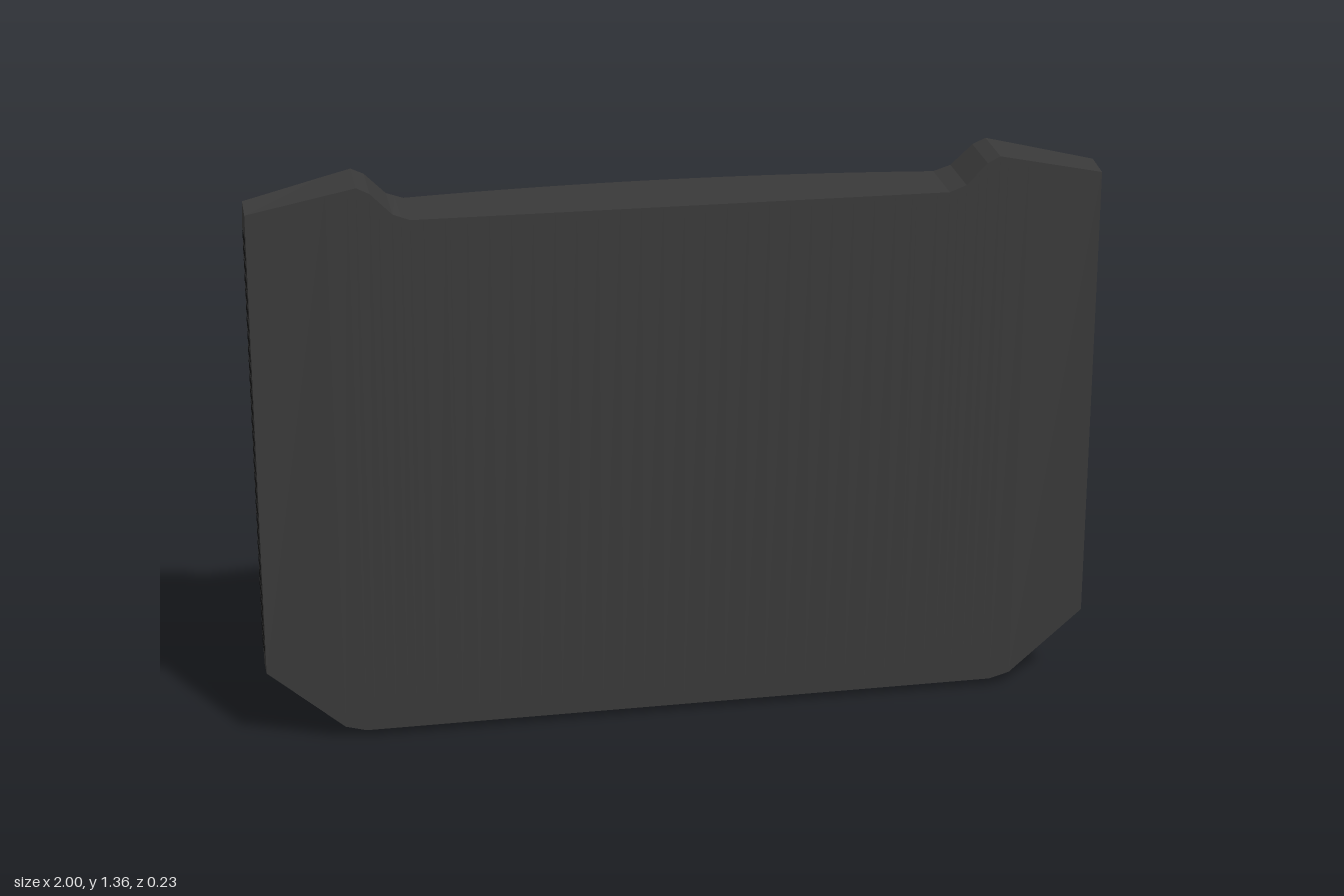
import * as THREE from 'three';

const FRONT_Z = 0.115;

// Piecewise-linear lookup through [x, value] knots
function knots(table, x) {
  for (let i = 1; i < table.length; i++) {
    const [x0, y0] = table[i - 1], [x1, y1] = table[i];
    if (x <= x1) return y0 + (y1 - y0) * (x - x0) / (x1 - x0);
  }
  return table[table.length - 1][1];
}

const TOP = [[0, 1.28], [0.63, 1.28], [0.67, 1.295], [0.72, 1.345], [0.75, 1.36], [1, 1.31]];
const BOTTOM = [[0, 0], [0.77, 0], [0.82, 0.015], [1, 0.18]];
const backZ = x => -0.115 * (1 - x * x);
const ridgeZ = x => 0.045 - 0.12 * (1 - x * x);
const backTop = x => knots(TOP, Math.abs(x)) - 0.07;

// Side cross-section at x, with an optional pocket in the underside
function section(x, pocket) {
  const a = Math.abs(x), top = knots(TOP, a), low = knots(BOTTOM, a);
  const rz = ridgeZ(x), lip = 0.018 - 0.013 * Math.max(0, (a - 0.8) / 0.2);
  const under = z => low + lip * (z - rz) / (FRONT_Z - rz);
  const z0 = rz + 0.03, z1 = 0.1, roof = pocket ? 0.055 : 0;
  return [
    [top - 0.015, FRONT_Z], [top, rz], [top - 0.07, backZ(x)],
    [low + 0.07 - 0.01 * (a === 1), backZ(x)], [low, rz],
    [under(z0), z0], [under(z0) + roof, z0], [under(z1) + roof, z1], [under(z1), z1],
    [low + lip, FRONT_Z],
  ].map(([y, z]) => new THREE.Vector3(x, y, z));
}

function geometryFrom(triangles) {
  const g = new THREE.BufferGeometry().setFromPoints(triangles);
  g.computeVertexNormals();
  return g;
}

const quad = (out, a, b, c, d) => out.push(a, b, c, a, c, d);

// Sample positions between two x values, including the given corner positions
function samples(x0, x1, corners = []) {
  const xs = [x0, x1, ...corners];
  for (let i = -15; i <= 15; i++) xs.push(i * 0.05);
  return [...new Set(xs)].filter(x => x >= x0 && x <= x1).sort((a, b) => a - b);
}

// Curved plate lying just outside the bowed back
function backPlate(x0, x1, topY, lowY, lift, corners) {
  const out = [], xs = samples(x0, x1, corners);
  const p = (x, y) => new THREE.Vector3(x, y, backZ(x) - lift);
  for (let i = 1; i < xs.length; i++) {
    const a = xs[i - 1], b = xs[i];
    quad(out, p(a, topY(a)), p(b, topY(b)), p(b, lowY(b)), p(a, lowY(a)));
  }
  return geometryFrom(out);
}

function bodyGeometry() {
  const bends = [0.54, 0.1, 0.63, 0.67, 0.72, 0.77, 0.82];
  const stations = [];
  for (const x of samples(-1, 1, bends.flatMap(b => [b, -b]))) {
    const a = Math.abs(x), inside = a > 0.1 && a < 0.54;
    const edge = a === 0.1 || a === 0.54;
    if (!edge) stations.push(section(x, inside));
    else {
      // Two rings at the same x make the end wall of a pocket
      const opens = x === -0.54 || x === 0.1;
      stations.push(section(x, !opens), section(x, opens));
    }
  }
  const out = [];
  for (let s = 1; s < stations.length; s++) {
    const a = stations[s - 1], b = stations[s];
    for (let i = 0; i < a.length; i++) {
      const j = (i + 1) % a.length;
      quad(out, a[i], b[i], b[j], a[j]);
    }
  }
  const first = stations[0], last = stations[stations.length - 1];
  for (let i = 1; i < first.length - 1; i++) {
    out.push(first[0], first[i], first[i + 1]);
    out.push(last[0], last[i + 1], last[i]);
  }
  return geometryFrom(out);
}

// Slits across the lower corner bevel
function cornerVentGeometry(side) {
  const out = [];
  const lift = new THREE.Vector3(0.0017 * side, -0.0014, -0.0022);
  const p = (x, u) => {
    const s = section(x, false);
    return s[3].lerp(s[4], u).add(lift);
  };
  for (let i = 0; i < 11; i++) {
    const near = 0.825 + i * 0.0152, far = near + 0.008;
    const [a, b] = side > 0 ? [near, far] : [-far, -near];
    quad(out, p(a, 0.08), p(b, 0.08), p(b, 0.85), p(a, 0.85));
  }
  return geometryFrom(out);
}

export function createModel() {
  const model = new THREE.Group();
  model.name = 'curvedPanelCase';
  const material = (name, color) => {
    const m = new THREE.MeshStandardMaterial({ color });
    m.name = name;
    return m;
  };
  const dark = material('charcoal', 0x383838);
  const light = material('midGrey', 0x6a6a6a);
  const black = material('black', 0x121212);

  const add = (name, geometry, mat, parent = model) => {
    const mesh = new THREE.Mesh(geometry, mat);
    mesh.name = name;
    parent.add(mesh);
    return mesh;
  };

  add('body', bodyGeometry(), dark);

  // Grey field on the back, cut by a long diagonal
  const fieldTop = [[-0.74, 0.255], [0.55, 1.197], [0.655, 1.19], [0.755, 1.26], [0.965, 1.22]];
  const fieldLow = [[-0.74, 0.197], [0.865, 0.19], [0.965, 0.25]];
  add('backField', backPlate(-0.74, 0.965, x => knots(fieldTop, x), x => knots(fieldLow, x),
    0.002, [0.55, 0.655, 0.755, 0.865]), light);

  // Groove along the top of the back with a grey insert in the middle
  const grooveLow = x => backTop(x) - 0.017, grooveTop = x => backTop(x) - 0.003;
  add('topGroove', backPlate(-0.64, 0.64, grooveTop, grooveLow, 0.0025), black);
  add('grooveInsert', backPlate(-0.115, 0.115, grooveTop, grooveLow, 0.0035), light);

  // Two small holes in the back
  for (const x of [-0.19, 0.19]) {
    const hole = add('backHole', new THREE.CircleGeometry(0.009, 12), black);
    hole.position.set(x, 0.955, backZ(x) - 0.0045);
    hole.rotation.y = Math.PI;
  }

  // Vent slits on both sides and lower corners
  const slit = new THREE.BoxGeometry(0.003, 0.018, 0.075);
  for (const side of [-1, 1]) {
    const vents = new THREE.Group();
    vents.name = side > 0 ? 'leftVents' : 'rightVents';
    model.add(vents);
    for (let i = 0; i < 30; i++) {
      add('ventSlit', slit, black, vents).position.set(side * 0.9995, 0.235 + i * 0.0342, 0.053);
    }
    add('cornerVent', cornerVentGeometry(side), black, vents);
  }
  return model;
}
